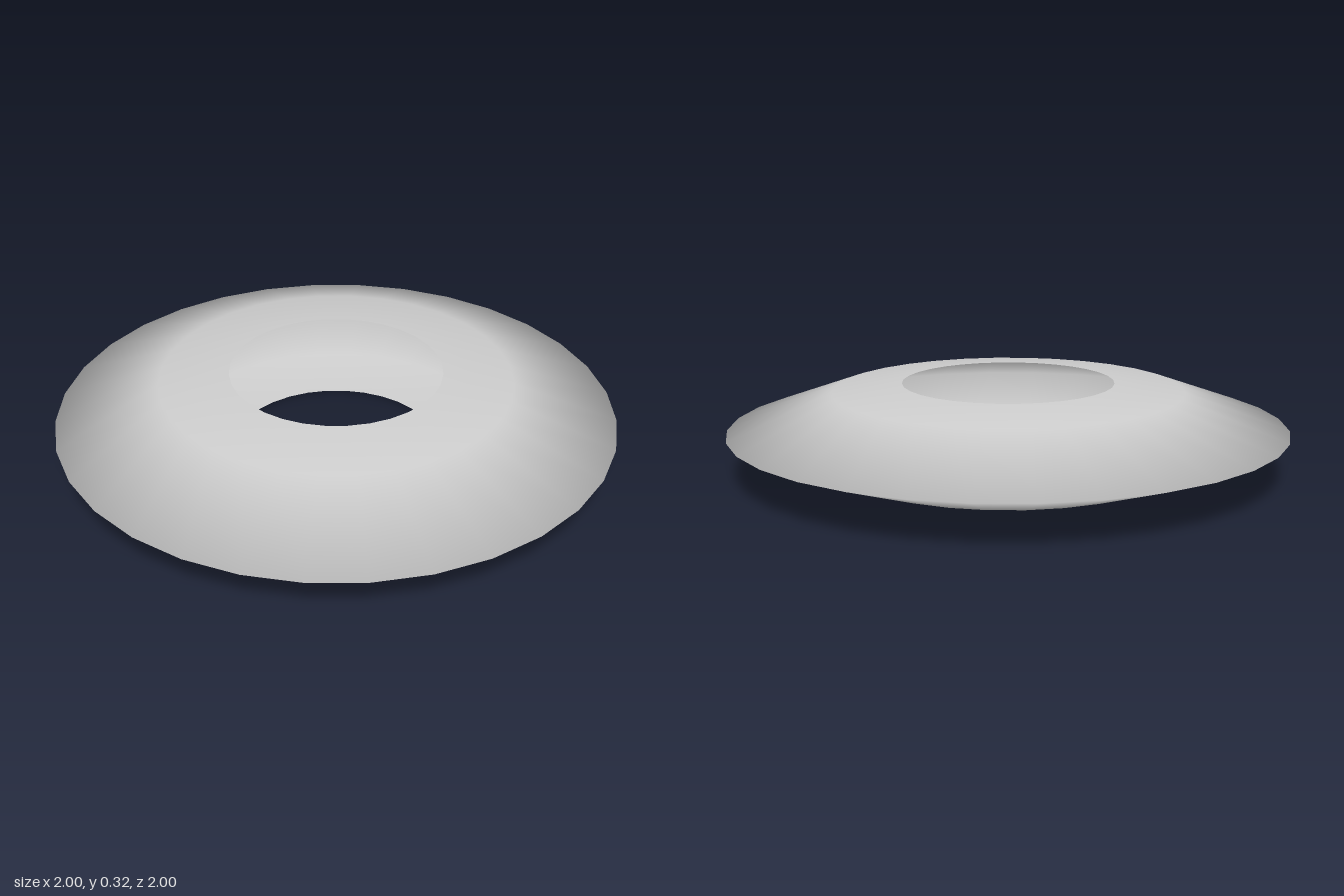
import * as THREE from 'three';

export function createModel() {
  const group = new THREE.Group();
  const material = new THREE.MeshStandardMaterial({ color: 0xcccccc, side: THREE.DoubleSide });

  // Lower half of the section, from the hole out to the rim; the upper half mirrors it
  const height = 0.316;
  const lower = [[0.38, 0], [0.63, 0.026]];
  const upper = lower.map(([r, y]) => [r, height - y]).reverse();
  const profile = [...lower, [1, height / 2], ...upper].map(([r, y]) => new THREE.Vector2(r, y));

  // Hollow ring, open towards the central hole
  const shell = new THREE.Mesh(new THREE.LatheGeometry(profile, 32), material);
  shell.name = 'hollowRingShell';
  group.add(shell);
  return group;
}
